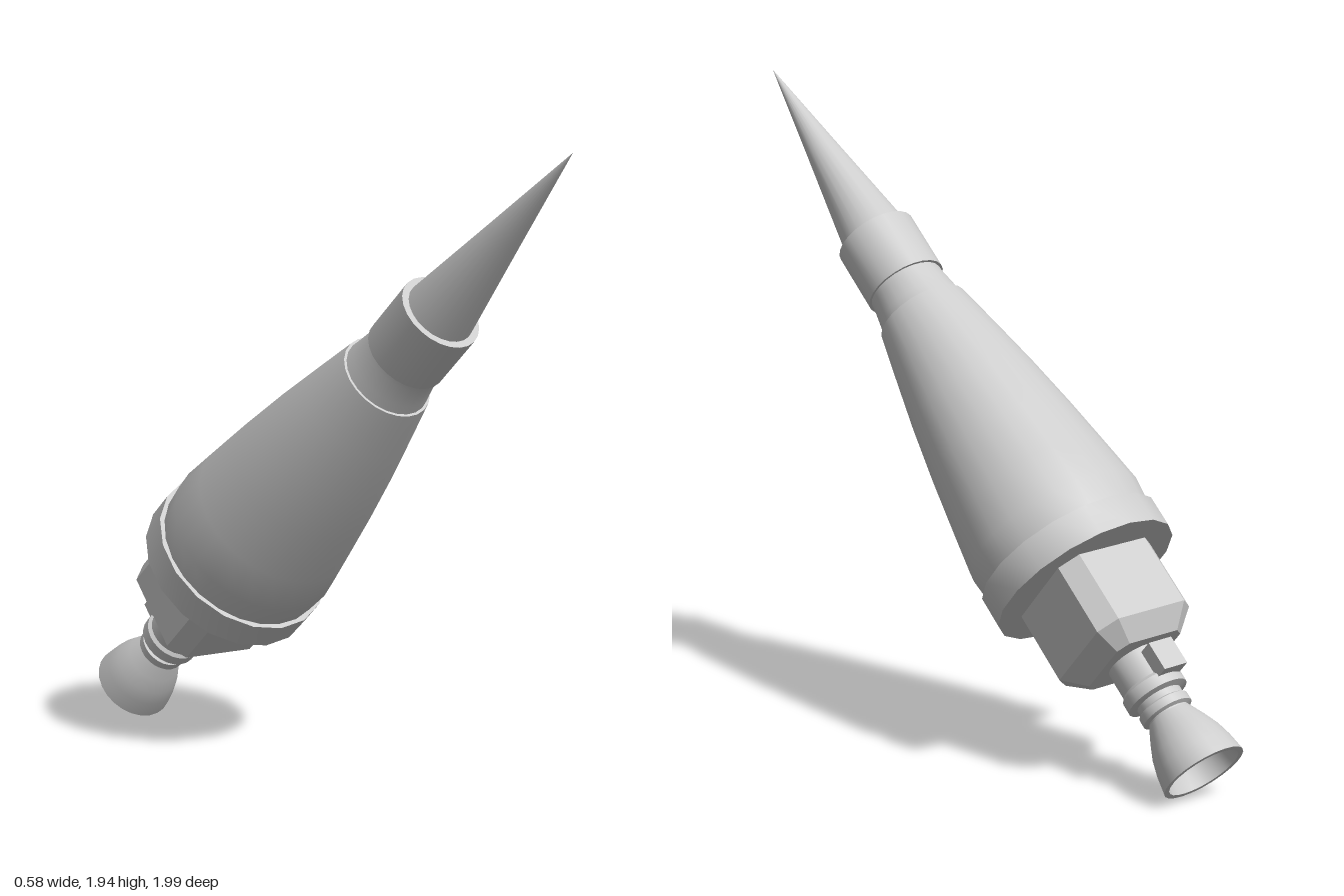
import * as THREE from 'three';
import { toCreasedNormals } from 'three/addons/utils/BufferGeometryUtils.js';
import { ConvexGeometry } from 'three/addons/geometries/ConvexGeometry.js';

export function createModel() {
  const metal = new THREE.MeshStandardMaterial({ color: 0xcccccc });
  metal.name = 'light grey';

  // Everything is built along local +Y, tail at 0, then tilted as one piece.
  const rocket = new THREE.Group();
  rocket.name = 'rocket';

  const add = (name, geometry) => {
    const mesh = new THREE.Mesh(geometry, metal);
    mesh.name = name;
    rocket.add(mesh);
    return mesh;
  };
  // Turned part from [radius, height] pairs listed tail to tip
  const turned = (name, profile, sides = 24) => add(name, toCreasedNormals(
    new THREE.LatheGeometry(profile.map(([r, y]) => new THREE.Vector2(r, y)), sides), 0.6));

  // Nose spike, collar and neck
  turned('noseSpike', [[0.109, 1.94], [0.105, 1.965], [0.051, 2.32], [0, 2.662]]);
  turned('collar', [[0, 1.77], [0.126, 1.77], [0.126, 1.965], [0, 1.965]]);
  turned('neck', [[0.137, 1.65], [0.129, 1.69], [0.119, 1.75], [0.117, 1.78]]);

  // Long tapering body on its flange
  turned('body', [[0.272, 0.76], [0.28, 0.85], [0.262, 0.98], [0.236, 1.16],
    [0.206, 1.34], [0.175, 1.5], [0.143, 1.66], [0, 1.662]]);
  turned('flange', [[0, 0.668], [0.288, 0.668], [0.288, 0.765], [0, 0.765]], 18);

  // Squared engine block with cut corners and a bevelled tail end
  const blockPoints = [];
  for (const [y, half, cut] of [[0.67, 0.174, 0.05], [0.445, 0.174, 0.05], [0.386, 0.12, 0.03]]) {
    for (const sx of [-1, 1]) for (const sz of [-1, 1]) {
      blockPoints.push(new THREE.Vector3(sx * half, y, sz * (half - cut)));
      blockPoints.push(new THREE.Vector3(sx * (half - cut), y, sz * half));
    }
  }
  add('engineBlock', new ConvexGeometry(blockPoints));

  // Stepped stem with a small valve box
  turned('stem', [[0.064, 0.18], [0.064, 0.195], [0.078, 0.2], [0.078, 0.225],
    [0.07, 0.23], [0.07, 0.25], [0.094, 0.255], [0.094, 0.29], [0.085, 0.3], [0.085, 0.39]]);
  add('valveBox', new THREE.BoxGeometry(0.085, 0.09, 0.09)).position.set(-0.01, 0.325, -0.08);

  // Hollow bell nozzle: inner wall, rim, outer wall
  turned('nozzle', [[0, 0.13], [0.05, 0.13], [0.085, 0.09], [0.1, 0.05], [0.112, 0],
    [0.128, 0], [0.119, 0.055], [0.107, 0.1], [0.088, 0.145], [0.066, 0.19], [0, 0.192]]);

  // Tilt: nose up and forward, leaning slightly to its left
  const axis = new THREE.Vector3(0.195, 1.85, 1.905).normalize();
  const under = new THREE.Vector3(1, 0, 0).cross(axis).normalize();
  const side = new THREE.Vector3().crossVectors(axis, under);
  rocket.quaternion.setFromRotationMatrix(new THREE.Matrix4().makeBasis(side, axis, under));
  rocket.position.set(-0.055, 0.097, -0.906);

  const model = new THREE.Group();
  model.name = 'model';
  model.add(rocket);
  return model;
}
